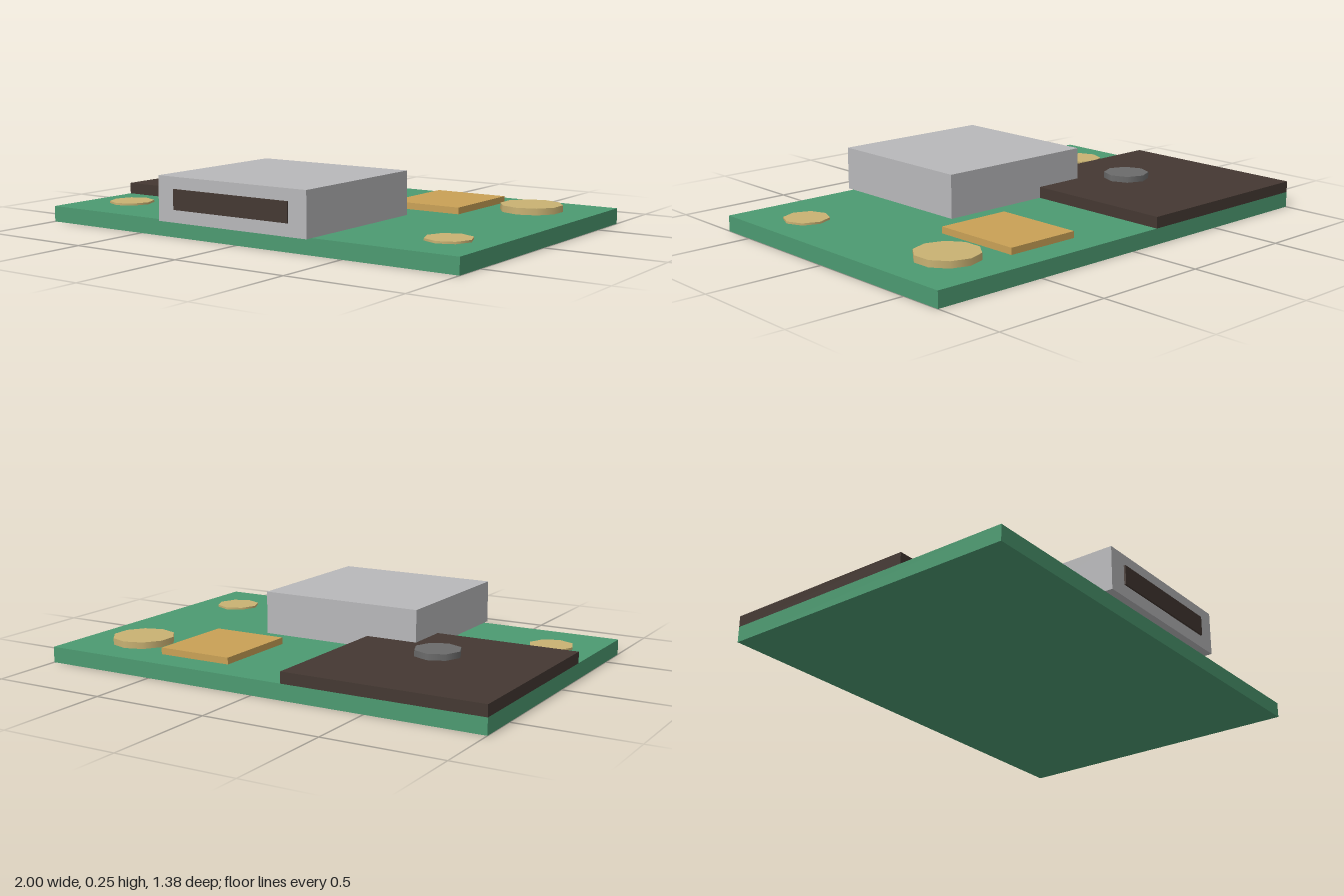
import * as THREE from 'three';

const material = (name, color) => {
  const m = new THREE.MeshStandardMaterial({ color });
  m.name = name;
  return m;
};

export function createModel() {
  const green = material('boardGreen', 0x4c9a71);
  const dark = material('darkBrown', 0x443832);
  const silver = material('silver', 0xb8b8ba);
  const grey = material('grey', 0x6b6b6b);
  const gold = material('paleGold', 0xc9b273);
  const amber = material('amber', 0xc9a156);

  const model = new THREE.Group();
  model.name = 'circuitBoard';

  // Box given by its [min, max] extent on each axis
  const box = (name, mat, [x0, x1], [y0, y1], [z0, z1]) => {
    const mesh = new THREE.Mesh(new THREE.BoxGeometry(x1 - x0, y1 - y0, z1 - z0), mat);
    mesh.position.set((x0 + x1) / 2, (y0 + y1) / 2, (z0 + z1) / 2);
    mesh.name = name;
    model.add(mesh);
  };
  // Upright faceted disc
  const disc = (name, mat, x, z, radius, [y0, y1], sides) => {
    const mesh = new THREE.Mesh(new THREE.CylinderGeometry(radius, radius, y1 - y0, sides), mat);
    mesh.position.set(x, (y0 + y1) / 2, z);
    mesh.name = name;
    model.add(mesh);
  };

  const top = 0.067;
  box('board', green, [-1, 1], [0, top], [-0.688, 0.647]);

  // Dark module with its button
  box('darkModule', dark, [-1, -0.137], [top, 0.115], [-0.688, 0.178]);
  disc('button', grey, -0.537, -0.157, 0.098, [0.11, 0.141], 8);

  // Metal connector with its slot plate
  box('connector', silver, [-0.368, 0.365], [top, 0.252], [-0.02, 0.68]);
  box('connectorSlot', dark, [-0.284, 0.281], [0.12, 0.203], [0.679, 0.688]);

  // Square chip, round component and mounting pads
  box('chip', amber, [0.199, 0.531], [top, 0.095], [-0.556, -0.156]);
  disc('roundComponent', gold, 0.73, -0.422, 0.132, [0.06, 0.095], 10);
  for (const x of [-0.8, 0.8]) disc('mountingPad', gold, x, 0.38, 0.096, [0.06, 0.076], 8);

  return model;
}
